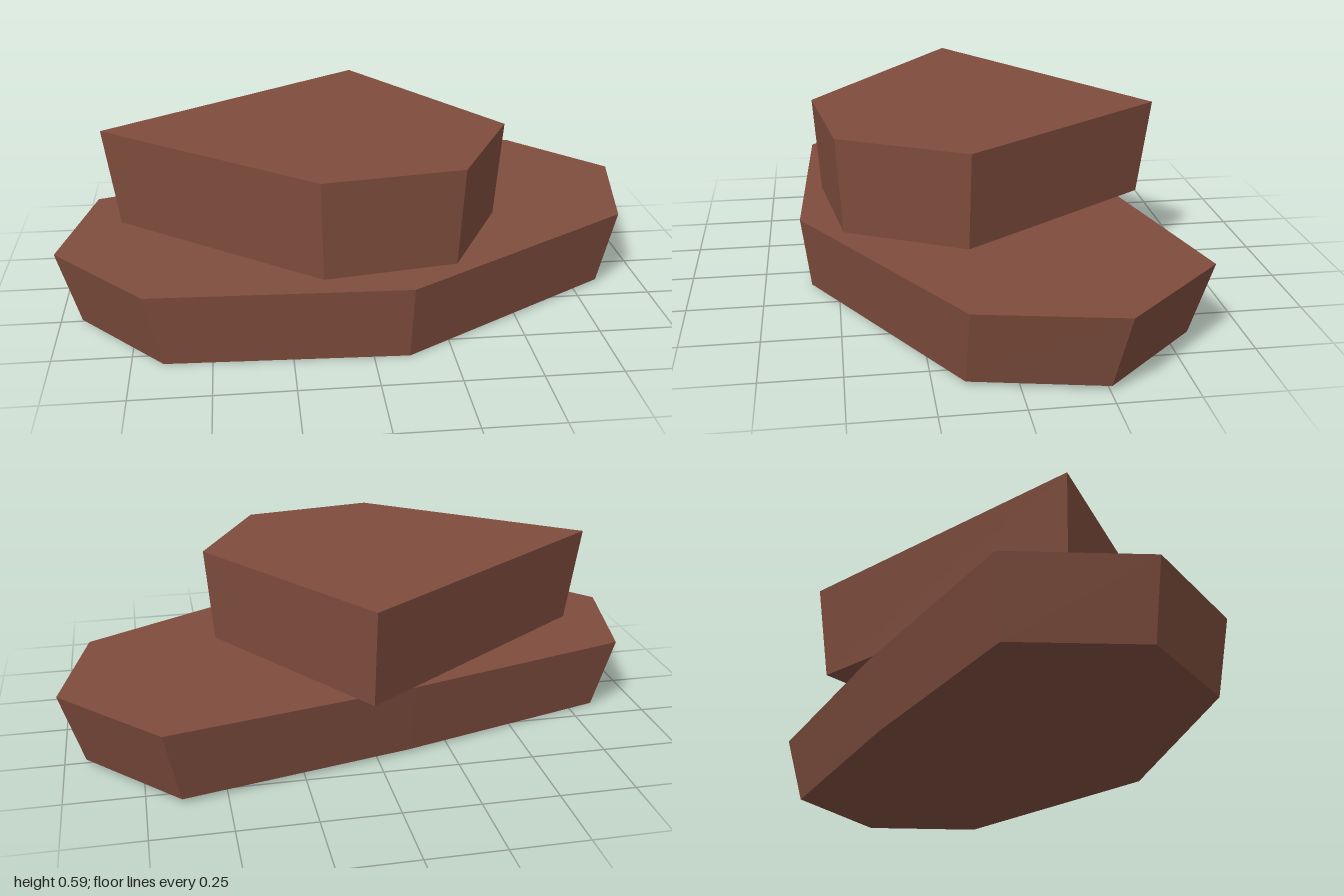
import * as THREE from 'three';

// Flat-shaded stone slab: an outline of [x, z] points (counter-clockwise from above),
// a smaller underside, and slightly tilted faces given by height functions.
function slab(name, outline, scale, offset, bottomY, topY, material) {
  const top = outline.map(([x, z]) => [x, topY(x, z), z]);
  const bottom = outline.map(([x, z]) => {
    const bx = x * scale + offset[0], bz = z * scale + offset[1];
    return [bx, bottomY(bx, bz), bz];
  });
  const n = outline.length;
  const positions = [];
  const tri = (a, b, c) => positions.push(...a, ...b, ...c);
  for (let i = 0; i < n; i++) {
    const j = (i + 1) % n;
    // side wall
    tri(bottom[i], bottom[j], top[j]);
    tri(bottom[i], top[j], top[i]);
    // top and underside fans
    if (i > 0 && i < n - 1) {
      tri(top[0], top[i], top[j]);
      tri(bottom[0], bottom[j], bottom[i]);
    }
  }
  const geometry = new THREE.BufferGeometry();
  geometry.setAttribute('position', new THREE.Float32BufferAttribute(positions, 3));
  geometry.computeVertexNormals();
  const mesh = new THREE.Mesh(geometry, material);
  mesh.name = name;
  return mesh;
}

export function createModel() {
  const group = new THREE.Group();
  group.name = 'stackedRockSlabs';
  const rock = new THREE.MeshStandardMaterial({ color: 0x7f4d3d });
  rock.name = 'reddish brown rock';

  // wide lower slab
  group.add(slab('lowerSlab',
    [[-1, 0.245], [-0.7, 0.58], [0.12, 0.62], [0.905, 0.15],
      [1, -0.29], [0.69, -0.625], [-0.12, -0.433], [-0.9, -0.2]],
    0.93, [0, 0.015],
    (x, z) => Math.max(0, 0.008 + 0.005 * x - 0.008 * z),
    (x, z) => 0.253 + 0.006 * x - 0.011 * z, rock));

  // smaller upper slab resting off-centre
  group.add(slab('upperSlab',
    [[-0.845, 0.035], [-0.16, 0.565], [0.29, 0.495], [0.5, 0.09], [0.045, -0.595]],
    0.945, [0, 0.01],
    (x, z) => 0.261 - 0.006 * z,
    (x, z) => 0.584 - 0.004 * x - 0.006 * z, rock));

  return group;
}
